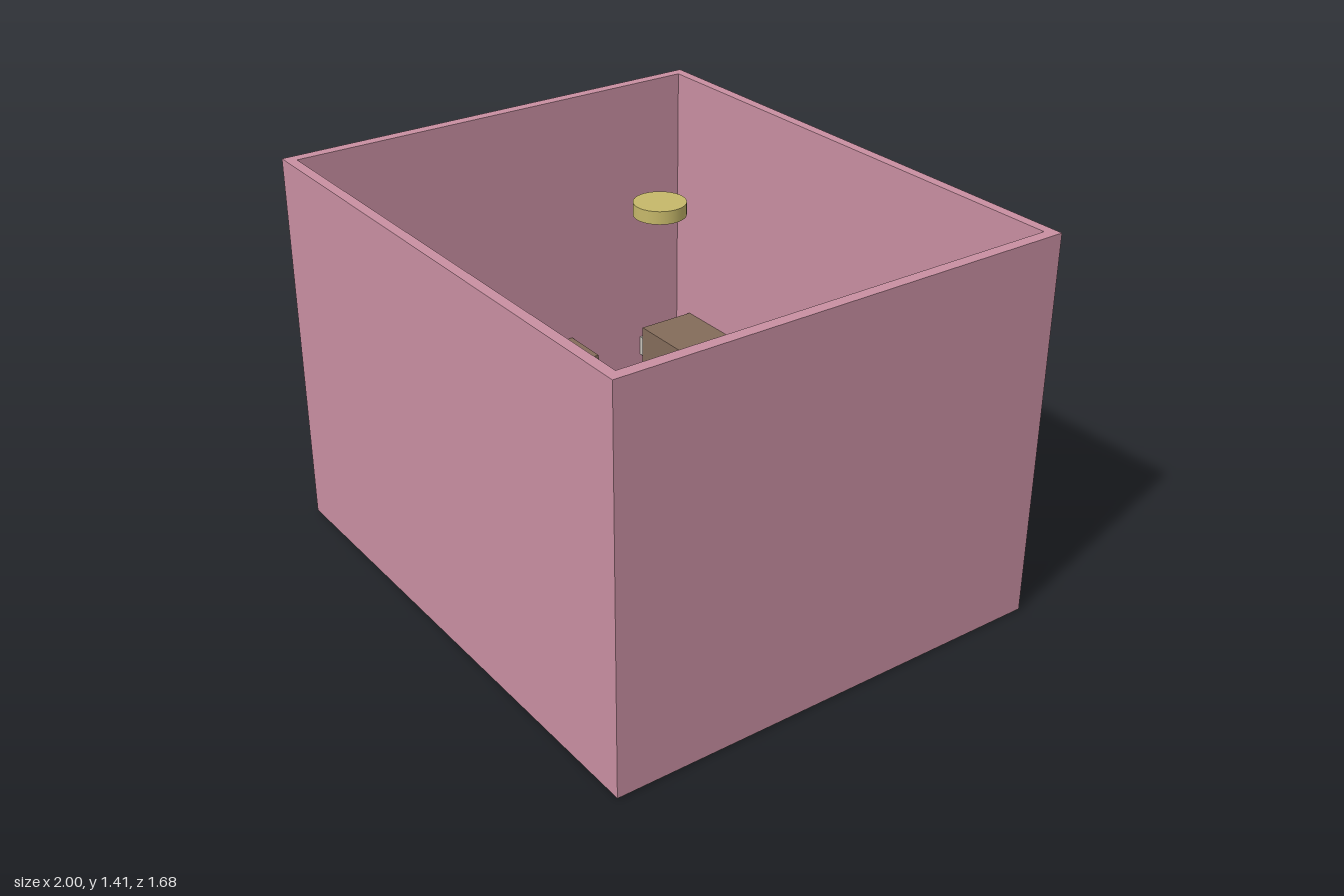
import * as THREE from 'three';

export function createModel() {
  const room = new THREE.Group();
  room.name = 'bedroom';

  const mat = (name, color) => {
    const m = new THREE.MeshStandardMaterial({ color });
    m.name = name;
    return m;
  };
  const pink = mat('wall pink', 0xc98fa2);
  const grey = mat('floor grey', 0xa1998d);
  const white = mat('off white', 0xc9c4bc);
  const red = mat('crimson', 0xa82a40);
  const brown = mat('dark wood', 0x846c5a);
  const tan = mat('tan panel', 0xa07c5a);
  const yellow = mat('lamp yellow', 0xc6b86a);

  const add = (name, geometry, material, x, y, z) => {
    const mesh = new THREE.Mesh(geometry, material);
    mesh.name = name;
    mesh.position.set(x, y, z);
    room.add(mesh);
    return mesh;
  };
  // Box given by its extents on each axis
  const box = (name, material, [x0, x1], [y0, y1], [z0, z1]) =>
    add(name, new THREE.BoxGeometry(x1 - x0, y1 - y0, z1 - z0), material,
      (x0 + x1) / 2, (y0 + y1) / 2, (z0 + z1) / 2);
  const disc = (name, material, r, [y0, y1], x, z) =>
    add(name, new THREE.CylinderGeometry(r, r, y1 - y0, 40), material, x, (y0 + y1) / 2, z);

  // Open-topped walls: a rectangle with a rectangular hole, extruded upward
  const rect = (Type, hx, hz) => new Type([
    new THREE.Vector2(-hx, -hz), new THREE.Vector2(hx, -hz),
    new THREE.Vector2(hx, hz), new THREE.Vector2(-hx, hz),
  ]);
  const plan = rect(THREE.Shape, 0.998, 0.842);
  plan.holes.push(rect(THREE.Path, 0.958, 0.805));
  const walls = new THREE.ExtrudeGeometry(plan, { depth: 1.406, bevelEnabled: false });
  walls.rotateX(-Math.PI / 2);
  add('walls', walls, pink, 0, 0.004, 0);
  box('floor', grey, [-0.997, 0.997], [0.002, 0.02], [-0.841, 0.841]);

  // Bed
  box('mattress', white, [-0.12, 0.9], [0, 0.36], [-0.52, 0.6]);
  box('headboard', red, [0.9, 0.94], [0, 0.84], [-0.51, 0.58]);
  box('footBench', red, [-0.285, -0.12], [0, 0.3], [-0.51, 0.595]);

  // Bedside tables
  disc('bedsideTableBack', brown, 0.088, [0, 0.35], 0.855, -0.64);
  disc('bedsideTableFront', brown, 0.088, [0, 0.35], 0.86, 0.705);

  // Dresser set into the side wall, and a corner cabinet
  box('dresser', brown, [-1, -0.77], [0, 0.42], [-0.29, 0.21]);
  box('cornerCabinet', brown, [-0.87, -0.61], [0, 0.42], [-0.81, -0.57]);

  // Pane on the outside of the side wall, panel on the inside of the front wall
  box('windowPane', white, [-1, -0.994], [0.61, 0.86], [-0.32, 0.09]);
  box('wallPanel', tan, [0.055, 0.765], [0.58, 1.2], [0.785, 0.83]);

  // Wall sockets
  box('socketRight', white, [-0.96, -0.912], [0.25, 0.33], [-0.69, -0.62]);
  box('socketFront', white, [-0.295, -0.225], [0.25, 0.33], [0.77, 0.806]);
  box('socketLeft', white, [0.935, 0.96], [0.25, 0.33], [-0.02, 0.06]);

  // Ceiling lamp
  disc('ceilingLamp', yellow, 0.088, [1.345, 1.39], 0.025, -0.01);

  return room;
}
